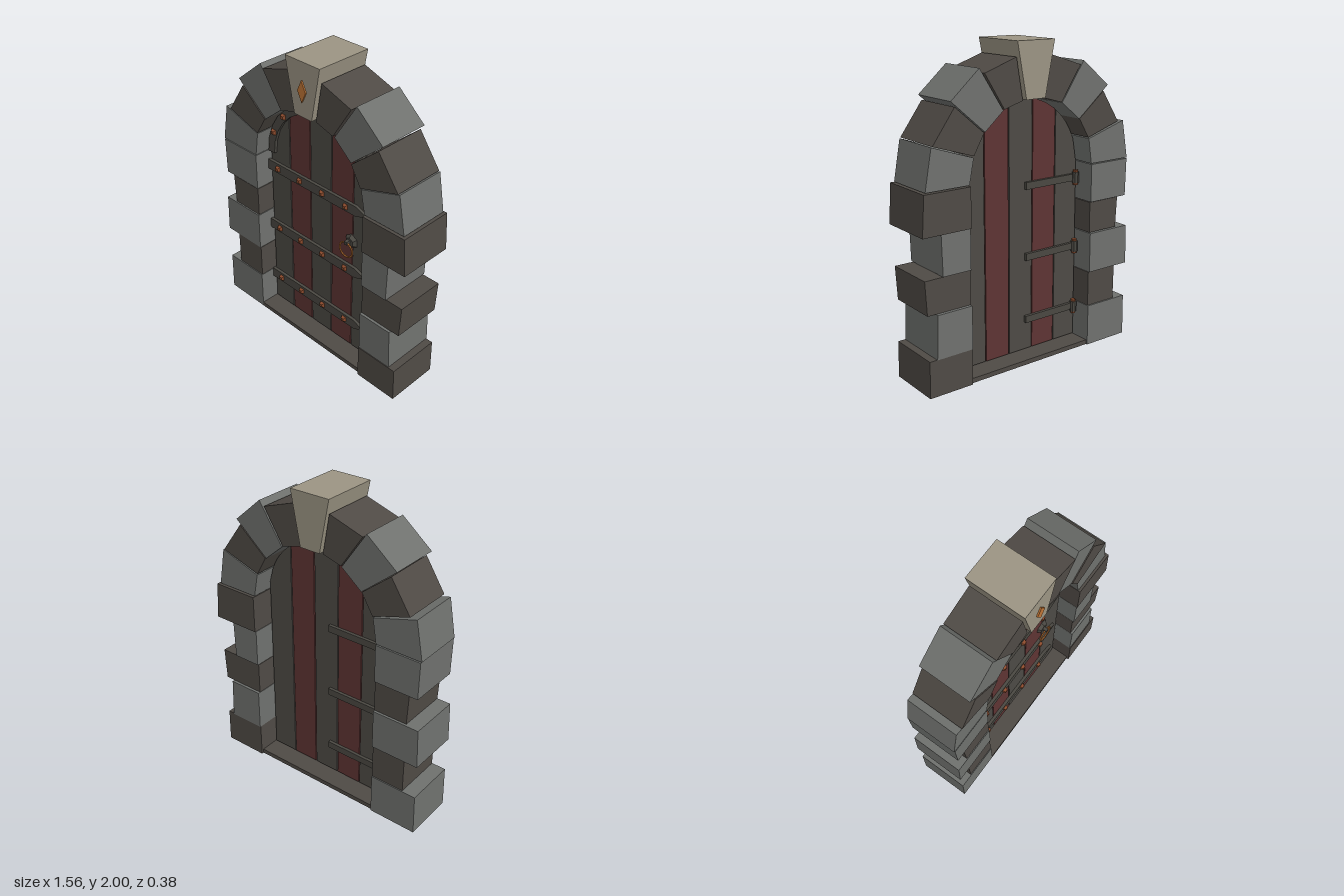
import * as THREE from 'three';

const mat = (name, color) => {
  const m = new THREE.MeshStandardMaterial({ color, flatShading: true });
  m.name = name;
  return m;
};

export function createModel() {
  const root = new THREE.Group();
  root.name = 'archedDoor';
  const lightStone = mat('lightStone', 0x6f716e);
  const darkStone = mat('darkStone', 0x4f4a45);
  const paleStone = mat('paleStone', 0x9b9483);
  const redWood = mat('redWood', 0x5e3433);
  const darkWood = mat('darkWood', 0x4d4a45);
  const iron = mat('iron', 0x4a4842);
  const copper = mat('copper', 0x8a4a2c);
  const bronze = mat('bronze', 0xc07536);

  const add = (name, geo, material, x = 0, y = 0, z = 0, parent = root) => {
    const m = new THREE.Mesh(geo, material);
    m.name = name;
    m.position.set(x, y, z);
    parent.add(m);
    return m;
  };
  const group = (name) => {
    const g = new THREE.Group();
    g.name = name;
    root.add(g);
    return g;
  };
  // Extrudes an outline of [x, y] points from z0 to z1
  const slab = (name, pts, z0, z1, material, parent = root) => {
    const shape = new THREE.Shape(pts.map(([x, y]) => new THREE.Vector2(x, y)));
    const geo = new THREE.ExtrudeGeometry(shape, { depth: z1 - z0, bevelEnabled: false });
    return add(name, geo, material, 0, 0, z0, parent);
  };

  // Jamb stones: y0, y1, outer x at bottom, outer x at top, back z, front z
  const jambs = group('jambStones');
  const right = [
    [0, 0.23, 0.752, 0.748, -0.18, 0.18], [0.23, 0.503, 0.70, 0.69, -0.185, 0.175],
    [0.506, 0.717, 0.75, 0.762, -0.17, 0.16], [0.72, 0.968, 0.645, 0.652, -0.178, 0.17],
    [0.971, 1.215, 0.778, 0.762, -0.188, 0.175],
  ];
  const left = [
    [0, 0.272, -0.78, -0.775, -0.175, 0.165], [0.275, 0.503, -0.683, -0.685, -0.17, 0.16],
    [0.506, 0.765, -0.78, -0.772, -0.18, 0.165], [0.77, 0.968, -0.685, -0.695, -0.17, 0.16],
    [0.972, 1.215, -0.755, -0.76, -0.178, 0.162],
  ];
  [[right, 0.455, 0], [left, -0.46, 1]].forEach(([rows, inner, shift]) => {
    rows.forEach(([y0, y1, xb, xt, z0, z1], i) => {
      slab('jambStone', [[inner, y0], [xb, y0], [xt, y1], [inner, y1]], z0, z1,
        (i + shift) % 2 ? lightStone : darkStone, jambs);
    });
  });

  // Arch stones, from the left spring over the crown to the right spring
  const arch = group('archStones');
  [
    [[-0.46, 1.22], [-0.765, 1.22], [-0.72, 1.465], [-0.435, 1.38]],
    [[-0.43, 1.388], [-0.675, 1.465], [-0.545, 1.665], [-0.355, 1.512]],
    [[-0.352, 1.512], [-0.58, 1.70], [-0.38, 1.862], [-0.215, 1.622]],
    [[-0.21, 1.625], [-0.355, 1.838], [-0.13, 1.91], [-0.085, 1.66]],
    [[0.08, 1.66], [0.125, 1.91], [0.345, 1.835], [0.21, 1.622]],
    [[0.218, 1.617], [0.38, 1.865], [0.57, 1.70], [0.345, 1.508]],
    [[0.352, 1.505], [0.545, 1.668], [0.692, 1.468], [0.422, 1.382]],
    [[0.425, 1.373], [0.70, 1.465], [0.745, 1.22], [0.455, 1.22]],
  ].forEach((pts, i) => {
    const light = [0, 2, 5, 7].includes(i);
    slab('archStone', pts, -0.174, light ? 0.16 : 0.165, light ? lightStone : darkStone, arch);
  });

  // Keystone with its diamond inlay
  slab('keystone', [[-0.073, 1.665], [0.065, 1.665], [0.13, 2], [-0.14, 2]], -0.19, 0.184, paleStone);
  slab('diamondInlay', [[-0.005, 1.757], [0.028, 1.825], [-0.005, 1.892], [-0.038, 1.825]], 0.184, 0.193, bronze);

  // Threshold
  add('threshold', new THREE.BoxGeometry(0.915, 0.03, 0.33), darkStone, -0.002, 0.015, 0);

  // Door planks, cut by the round head
  const CY = 1.21, R = 0.445, DZ = 0.045;
  const planks = group('doorPlanks');
  [[-0.445, -0.275], [-0.268, -0.097], [-0.09, 0.081], [0.089, 0.26], [0.267, 0.44]].forEach(([a, b], i) => {
    const pts = [[a, 0.042], [b, 0.042]];
    for (let k = 0; k <= 6; k++) {
      const x = b + (a - b) * k / 6;
      pts.push([x, CY + Math.sqrt(Math.max(0, R * R - x * x))]);
    }
    slab('plank', pts, -DZ, DZ, i % 2 ? redWood : darkWood, planks);
  });

  // Faceted square rivet
  const rivetGeo = new THREE.CylinderGeometry(0.014, 0.025, 0.02, 4).rotateY(Math.PI / 4).rotateX(Math.PI / 2);
  const rivet = (x, y, z, parent) => add('rivet', rivetGeo, copper, x, y, z, parent);

  // Iron straps with pointed ends, back straps and hinge barrels
  const straps = group('straps');
  for (const y of [0.248, 0.663, 1.118]) {
    const h = 0.034;
    slab('frontStrap', [[-0.458, y - h], [0.3, y - h], [0.39, y], [0.3, y + h], [-0.458, y + h]],
      DZ, DZ + 0.02, iron, straps);
    for (const x of [-0.365, -0.17, 0.025, 0.22]) rivet(x, y, DZ + 0.028, straps);
    add('backStrap', new THREE.BoxGeometry(0.42, 0.045, 0.02), iron, -0.245, y, -DZ - 0.01, straps);
    add('hingeBarrel', new THREE.CylinderGeometry(0.022, 0.022, 0.07, 8), iron, -0.425, y, -DZ - 0.022, straps);
    for (const s of [-1, 1]) {
      add('hingePinCap', new THREE.CylinderGeometry(0.016, 0.016, 0.012, 8), copper,
        -0.425, y + s * 0.041, -DZ - 0.022, straps);
    }
  }

  // Curved iron band around the head
  const band = group('archBand');
  const bandPts = [];
  const N = 14;
  for (let k = 0; k <= N; k++) {
    const t = Math.PI * k / N;
    bandPts.push([0.45 * Math.cos(t), CY + 0.01 + 0.445 * Math.sin(t)]);
  }
  for (let k = N; k >= 0; k--) {
    const t = Math.PI * k / N;
    bandPts.push([0.395 * Math.cos(t), CY + 0.01 + 0.392 * Math.sin(t)]);
  }
  slab('bandArc', bandPts, DZ, DZ + 0.02, iron, band);
  for (let k = 1; k <= 7; k++) {
    const t = Math.PI * k / 8;
    rivet(0.42 * Math.cos(t) - 0.003, CY + 0.425 * Math.sin(t), DZ + 0.028, band);
  }

  // Ring pull on a six-sided plate
  const pull = group('ringPull');
  add('pullPlate', new THREE.CylinderGeometry(0.032, 0.05, 0.022, 6).rotateX(Math.PI / 2), iron, 0.255, 0.875, DZ + 0.011, pull);
  add('pullStaple', new THREE.BoxGeometry(0.022, 0.022, 0.03), iron, 0.25, 0.88, DZ + 0.035, pull);
  add('pullRing', new THREE.TorusGeometry(0.052, 0.006, 6, 16), bronze, 0.245, 0.825, DZ + 0.038, pull);

  return root;
}
